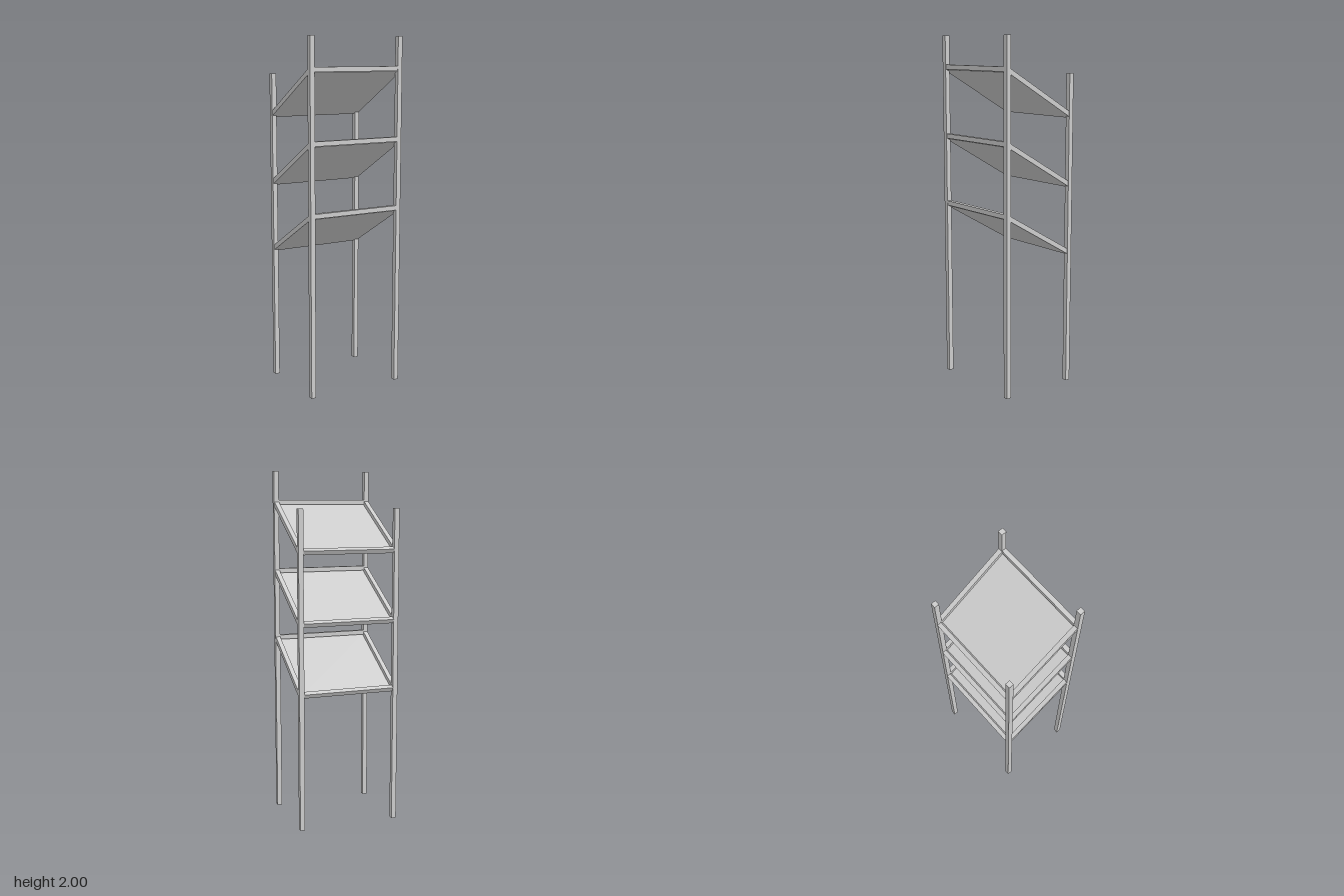
import * as THREE from 'three';

export function createModel() {
  const root = new THREE.Group();
  root.name = 'tiltedShelfRack';
  const material = new THREE.MeshStandardMaterial({ color: 0xcccccc });

  const addBox = (parent, name, size, position) => {
    const mesh = new THREE.Mesh(new THREE.BoxGeometry(...size), material);
    mesh.name = name;
    mesh.position.set(...position);
    parent.add(mesh);
    return mesh;
  };

  const post = 0.028, rail = 0.026;
  const postX = 0.28, postZ = 0.222;
  const frontHeight = 2, backHeight = 1.795;
  const tilt = Math.PI / 6;
  const innerWidth = 0.532;

  // Four posts, the front pair taller
  for (const [side, sx] of [['left', 1], ['right', -1]]) {
    addBox(root, `${side}FrontPost`, [post, frontHeight, post], [sx * postX, frontHeight / 2, postZ]);
    addBox(root, `${side}BackPost`, [post, backHeight, post], [sx * postX, backHeight / 2, -postZ]);
  }

  // Three shelves sloping down to the back
  for (let i = 0; i < 3; i++) {
    const y = 0.905 + i * 0.3935;
    const shelf = new THREE.Group();
    shelf.name = `shelf${i + 1}`;
    shelf.position.y = y;
    root.add(shelf);

    // Level front rail
    addBox(shelf, 'frontRail', [innerWidth, rail, rail], [0, 0.132, 0.221]);

    // Tilted side rails, back rail and thin panel set at the bottom of the frame
    const frame = new THREE.Group();
    frame.name = 'tiltedFrame';
    frame.rotation.x = -tilt;
    shelf.add(frame);
    for (const [side, sx] of [['left', 1], ['right', -1]]) {
      addBox(frame, `${side}SideRail`, [rail, rail, 0.5], [sx * 0.279, 0, 0]);
    }
    const backZ = -0.2546, panelBack = backZ + rail / 2, panelFront = 0.255;
    addBox(frame, 'backRail', [innerWidth, rail, rail], [0, 0, backZ]);
    addBox(frame, 'panel', [innerWidth, 0.004, panelFront - panelBack],
      [0, -rail / 2 + 0.002, (panelFront + panelBack) / 2]);
  }
  return root;
}
